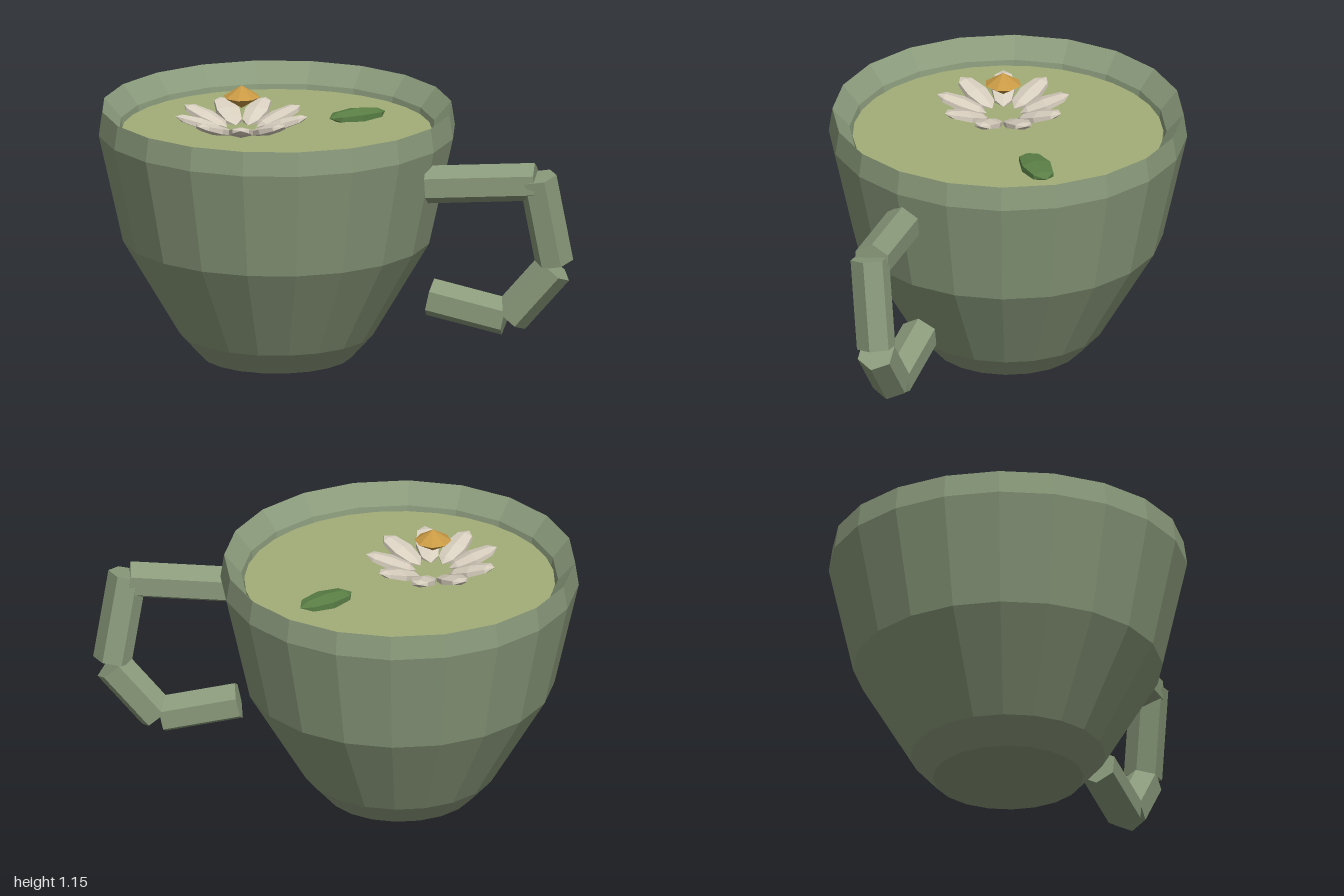
import * as THREE from 'three';

const mat = (color) => new THREE.MeshStandardMaterial({ color, flatShading: true });
const CUP_X = -0.267;

function add(parent, name, geometry, material) {
  const mesh = new THREE.Mesh(geometry, material);
  mesh.name = name;
  parent.add(mesh);
  return mesh;
}

// Six-sided bar between two points, with flat sides facing front and back
function bar(a, b, radius) {
  const dir = b.clone().sub(a);
  const length = dir.length();
  dir.normalize();
  const apex = new THREE.Vector3(0, 0, 1).cross(dir).normalize();
  const side = dir.clone().cross(apex);
  const middle = a.clone().add(b).multiplyScalar(0.5);
  return new THREE.CylinderGeometry(radius, radius, length, 6)
    .applyMatrix4(new THREE.Matrix4().makeBasis(side, dir, apex).setPosition(middle));
}

// Squashed low-poly sphere with its pointed ends along x
function blade(halfLength, halfHeight, halfWidth) {
  return new THREE.SphereGeometry(1, 6, 4)
    .rotateZ(-Math.PI / 2)
    .scale(halfLength, halfHeight, halfWidth);
}

export function createModel() {
  const model = new THREE.Group();
  model.name = 'teacup';
  const ceramic = mat(0x8a9a7b);

  // Cup wall: outside from the foot to the rim, then down the inside
  const profile = [
    [0, 0], [0.31, 0], [0.4, 0.1], [0.635, 0.5], [0.735, 0.95],
    [0.72, 1.05], [0.65, 0.97], [0.63, 0.85],
  ].map(([r, y]) => new THREE.Vector2(r, y));
  add(model, 'cup', new THREE.LatheGeometry(profile, 20), ceramic).position.x = CUP_X;

  // Tea surface
  const tea = add(model, 'tea', new THREE.CylinderGeometry(0.637, 0.637, 0.03, 32), mat(0xa3ae78));
  tea.position.set(CUP_X, 0.935, 0);

  // Handle made of four straight bars
  const handle = new THREE.Group();
  handle.name = 'handle';
  model.add(handle);
  const bars = [
    [[0.4, 0.81, 0.21], [0.85, 0.838, 0.185]],
    [[0.858, 0.86, 0.19], [0.918, 0.49, 0.14]],
    [[0.918, 0.465, 0.14], [0.735, 0.25, 0.14]],
    [[0.715, 0.247, 0.14], [0.4, 0.315, 0.14]],
  ];
  for (const [a, b] of bars) {
    add(handle, 'handleBar', bar(new THREE.Vector3(...a), new THREE.Vector3(...b), 0.08), ceramic);
  }

  // Floating blossom: nine raised petals around a golden centre
  const flower = new THREE.Group();
  flower.name = 'flower';
  flower.position.set(-0.4, 0, 0.07);
  model.add(flower);
  const petalGeometry = blade(0.108, 0.022, 0.056)
    .rotateZ(0.32)
    .translate(0.172, 0.998, 0);
  const petalMaterial = mat(0xd8cfbf);
  for (let i = 0; i < 9; i++) {
    add(flower, 'petal', petalGeometry, petalMaterial).rotation.y = (i / 9) * Math.PI * 2;
  }
  const centre = add(flower, 'flowerCentre', new THREE.SphereGeometry(0.076, 8, 2), mat(0xc99a45));
  centre.scale.y = 0.63;
  centre.position.y = 1.104;

  // Floating leaf
  const leaf = add(model, 'leaf', blade(0.13, 0.028, 0.07), mat(0x5a7f45));
  leaf.position.set(0.024, 0.968, -0.23);
  leaf.rotation.y = 0.68;

  return model;
}
